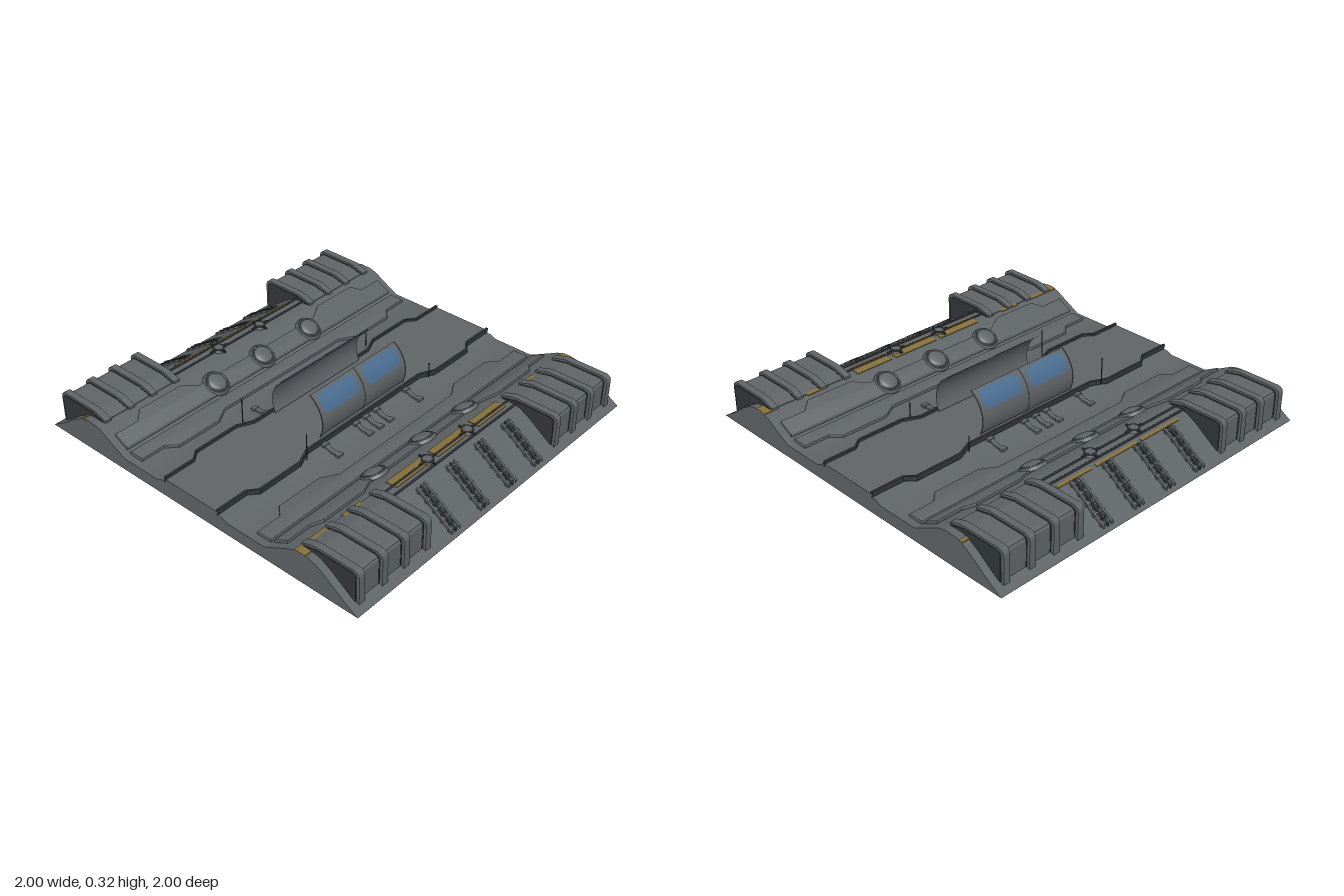
import * as THREE from 'three';
import { toCreasedNormals } from 'three/addons/utils/BufferGeometryUtils.js';

const paint = (name, color) => {
  const m = new THREE.MeshStandardMaterial({ color, side: THREE.DoubleSide });
  m.name = name;
  return m;
};
const hull = paint('hull grey', 0x5f6467);
const trim = paint('dark trim', 0x34373a);
const ochre = paint('ochre stripe', 0x85703c);
const glass = paint('blue glass', 0x4a6c90);

// Height of the base shell, by distance from the centre line
const PROFILE = [[0, 0.085], [0.2, 0.085], [0.23, 0.07], [0.46, 0.07], [0.48, 0.08], [0.62, 0.155],
  [0.66, 0.164], [0.72, 0.165], [0.76, 0.156], [0.82, 0.122], [0.92, 0.05], [1, 0]];
function heightAt(z) {
  const d = Math.min(Math.abs(z), 1);
  const i = Math.max(1, PROFILE.findIndex(p => p[0] >= d));
  const [a, b] = [PROFILE[i - 1], PROFILE[i]];
  return a[1] + (b[1] - a[1]) * (d - a[0]) / (b[0] - a[0]);
}

function add(parent, name, geo, mat, x = 0, y = 0, z = 0) {
  const m = new THREE.Mesh(geo, mat);
  m.name = name;
  m.position.set(x, y, z);
  parent.add(m);
  return m;
}

// Lay a geometry over the shell
function drape(geo) {
  const p = geo.attributes.position;
  for (let i = 0; i < p.count; i++) p.setY(i, p.getY(i) + heightAt(p.getZ(i)));
  geo.computeVertexNormals();
  return toCreasedNormals(geo, 0.5);
}
const drapedBox = (w, h, d, x, z, n = 6) => drape(new THREE.BoxGeometry(w, h, d, 1, 1, n).translate(x, h / 2, z));

// Edge line with two trapezoid bulges
function bulgeLine(half, zNear, zWide) {
  const left = [[-half, zNear], [-0.82, zNear], [-0.77, zWide], [-0.505, zWide], [-0.42, zNear]];
  return [...left, ...left.map(([x, z]) => [-x, z]).reverse()];
}
// Flat panel in x,z with its top at y = top
function slab(points, thick, top, bevel = 0) {
  const shape = new THREE.Shape(points.map(p => new THREE.Vector2(...p)));
  return new THREE.ExtrudeGeometry(shape, {
    depth: thick, bevelEnabled: bevel > 0, bevelSize: bevel, bevelOffset: -bevel, bevelThickness: bevel, bevelSegments: 2,
  }).rotateX(Math.PI / 2).translate(0, top - bevel, 0);
}
// Extrude a z,y outline along x, centred
function acrossX(points, width) {
  const shape = new THREE.Shape(points.map(p => new THREE.Vector2(...p)));
  return new THREE.ExtrudeGeometry(shape, { depth: width, bevelEnabled: false })
    .rotateY(-Math.PI / 2).translate(width / 2, 0, 0);
}

// Curved sheet around the canopy axis; corner > 0 rounds the corners
function curvedSheet(x0, x1, a0, a1, r, corner = 0) {
  const geo = new THREE.PlaneGeometry(1, 1, 6, 24);
  const p = geo.attributes.position;
  for (let i = 0; i < p.count; i++) {
    const v = p.getY(i) + 0.5;
    const arc = (a1 - a0) * r;
    const e = Math.max(0, corner - Math.min(v, 1 - v) * arc);
    const inset = corner - Math.sqrt(Math.max(0, corner * corner - e * e));
    const x = (x0 + x1) / 2 + p.getX(i) * (x1 - x0 - 2 * inset);
    const a = a0 + v * (a1 - a0);
    p.setXYZ(i, x, 0.18 + r * Math.sin(a), r * Math.cos(a));
  }
  geo.computeVertexNormals();
  return geo;
}

function buildShell(root) {
  const line = [...PROFILE.slice(1).reverse().map(([z, y]) => [-z, y]), ...PROFILE];
  const geo = new THREE.PlaneGeometry(2, 2, 1, line.length - 1).rotateX(-Math.PI / 2);
  const p = geo.attributes.position;
  for (let i = 0; i < p.count; i++) {
    const [z, y] = line[Math.floor(i / 2)];
    p.setXYZ(i, p.getX(i), y, z);
  }
  geo.computeVertexNormals();
  add(root, 'baseShell', toCreasedNormals(geo, 0.6), hull);
  const cap = new THREE.Shape(line.map(q => new THREE.Vector2(...q)));
  for (const s of [1, -1]) {
    add(root, 'endCap', new THREE.ShapeGeometry(cap), hull, s * 0.999).rotation.y = -Math.PI / 2;
  }
  // Raised walkway along the middle
  const edge = bulgeLine(1, 0.17, 0.21);
  add(root, 'walkway', slab([...edge, ...edge.map(([x, z]) => [x, -z]).reverse()], 0.02, 0.102), hull);
}

// One half of the tile; s = -1 is the turned copy, which keeps x offsets true
function buildHalf(s) {
  const half = new THREE.Group();
  half.name = s > 0 ? 'frontHalf' : 'backHalf';
  half.rotation.y = s > 0 ? 0 : Math.PI;

  // Walkway lip
  const lip = bulgeLine(1, 0.178, 0.217);
  add(half, 'walkwayLip', slab([...lip, ...lip.map(([x, z]) => [x, z - 0.012]).reverse()], 0.025, 0.115), trim);

  // Floor panel and sloped panel
  const inner = bulgeLine(0.96, 0.38, 0.33);
  add(half, 'floorPanel', drape(slab([...inner, [0.96, 0.465], [-0.96, 0.465]], 0.008, 0.016, 0.007)), hull);
  const outer = bulgeLine(0.96, 0.565, 0.607);
  add(half, 'slopePanel', drape(slab([...outer, [0.96, 0.485], [-0.96, 0.485]], 0.008, 0.018, 0.007)), hull);

  // Round bosses on the sloped panel
  for (const x of [-0.35, 0, 0.33]) {
    const boss = new THREE.Group();
    boss.name = 'boss';
    boss.position.set(x, heightAt(0.53) + 0.014, 0.53);
    boss.rotation.x = -0.49;
    half.add(boss);
    add(boss, 'bossCollar', toCreasedNormals(new THREE.CylinderGeometry(0.062, 0.072, 0.016, 28), 0.5), hull, 0, 0.004);
    add(boss, 'bossDome', new THREE.SphereGeometry(0.05, 28, 8, 0, Math.PI * 2, 0, Math.PI / 2).scale(1, 0.3, 1), hull, 0, 0.012);
    add(boss, 'bossRing', new THREE.TorusGeometry(0.053, 0.004, 6, 28).rotateX(Math.PI / 2), hull, 0, 0.012);
  }

  // Flared clips beside the walkway
  for (const x of [-0.31, -0.085, -0.01, 0.065, 0.295]) {
    add(half, 'clip', drapedBox(0.024, 0.01, 0.09, x * s, 0.235), hull);
    for (const z of [0.19, 0.28]) add(half, 'clipEnd', drapedBox(0.036, 0.012, 0.022, x * s, z, 2), hull);
  }

  // Ochre stripe segments
  const [z0, z1] = s > 0 ? [0.64, 0.705] : [0.75, 0.766];
  for (const [a, b] of [[-1, -0.8], [-0.7, -0.58], [-0.4, -0.13], [-0.1, 0.18], [0.21, 0.43], [0.62, 0.74], [0.93, 1]]) {
    add(half, 'stripe', drapedBox(b - a, 0.004, z1 - z0, s * (a + b) / 2, (z0 + z1) / 2), ochre);
  }

  // Pipes with valve hubs
  for (const z of [0.687, 0.733]) {
    add(half, 'pipe', new THREE.CylinderGeometry(0.005, 0.005, 0.95, 8).rotateZ(Math.PI / 2), trim, 0, 0.17, z);
  }
  for (const x of [-0.16, 0.14]) {
    add(half, 'valveHub', toCreasedNormals(new THREE.CylinderGeometry(0.024, 0.032, 0.022, 16), 0.5), hull, x * s, 0.174, 0.688);
    add(half, 'valveRing', new THREE.TorusGeometry(0.026, 0.005, 6, 18).rotateX(Math.PI / 2), trim, x * s, 0.182, 0.688);
    add(half, 'valveBar', new THREE.BoxGeometry(0.11, 0.008, 0.01), trim, x * s, 0.176, 0.688);
    add(half, 'valveCrossBar', new THREE.BoxGeometry(0.01, 0.008, 0.1), trim, x * s, 0.176, 0.688);
  }

  // Slatted vents on the outer slope
  for (const x of [-0.31, -0.095, 0.12, 0.33]) {
    for (const dx of [-0.027, 0, 0.027]) {
      add(half, 'ventRail', drapedBox(0.011, 0.014, 0.21, x * s + dx, 0.875, 8), dx ? hull : trim);
    }
    for (let i = 0; i < 9; i++) {
      add(half, 'ventSlat', drapedBox(i % 2 ? 0.058 : 0.076, 0.011, 0.009, x * s, 0.785 + i * 0.0225, 1), i % 2 ? trim : hull);
    }
  }

  // Ribbed corner housings
  const body = [[0.95, 0.03], [0.95, 0.165], [0.943, 0.178], [0.925, 0.184], [0.73, 0.184], [0.65, 0.165], [0.65, 0.13]];
  const rib = [[0.967, 0.02], [0.967, 0.17], [0.962, 0.184], [0.953, 0.193], [0.94, 0.197], [0.73, 0.197],
    [0.7, 0.193], [0.64, 0.172], [0.64, 0.12]];
  for (const side of [1, -1]) {
    add(half, 'cornerHousing', acrossX(body, 0.46), hull, side * 0.715);
    for (const x of [0.495, 0.643, 0.786, 0.935]) {
      add(half, 'housingRib', acrossX(rib, 0.036), hull, side * x);
      for (const e of [-0.021, 0.021]) {
        add(half, 'ribSeam', acrossX(body, 0.006).translate(0, 0.002, 0.002), trim, side * x + e);
      }
    }
  }

  // Curved canopy wall with two panes
  const canopy = new THREE.Group();
  canopy.name = 'canopy';
  canopy.position.x = 0.01 * s;
  half.add(canopy);
  add(canopy, 'canopyWall', curvedSheet(-0.31, 0.31, -0.46, 1.04, 0.163), hull);
  for (const side of [1, -1]) {
    add(canopy, 'pane', curvedSheet(side * 0.155 - 0.128, side * 0.155 + 0.128, 0.32, 0.95, 0.166, 0.035), glass);
    add(canopy, 'canopyEdge', curvedSheet(side * 0.307 - 0.004, side * 0.307 + 0.004, -0.46, 1.04, 0.165), trim);
  }
  add(canopy, 'canopyDivider', curvedSheet(-0.004, 0.004, -0.46, 1.04, 0.165), trim);

  // Thin masts
  add(half, 'tallMast', new THREE.BoxGeometry(0.004, 0.15, 0.004), trim, -0.46 * s, 0.175, 0.212);
  add(half, 'shortMast', new THREE.BoxGeometry(0.004, 0.085, 0.004), trim, 0.45 * s, 0.142, 0.212);
  return half;
}

export function createModel() {
  const root = new THREE.Group();
  root.name = 'trenchTile';
  buildShell(root);
  root.add(buildHalf(1), buildHalf(-1));
  return root;
}
